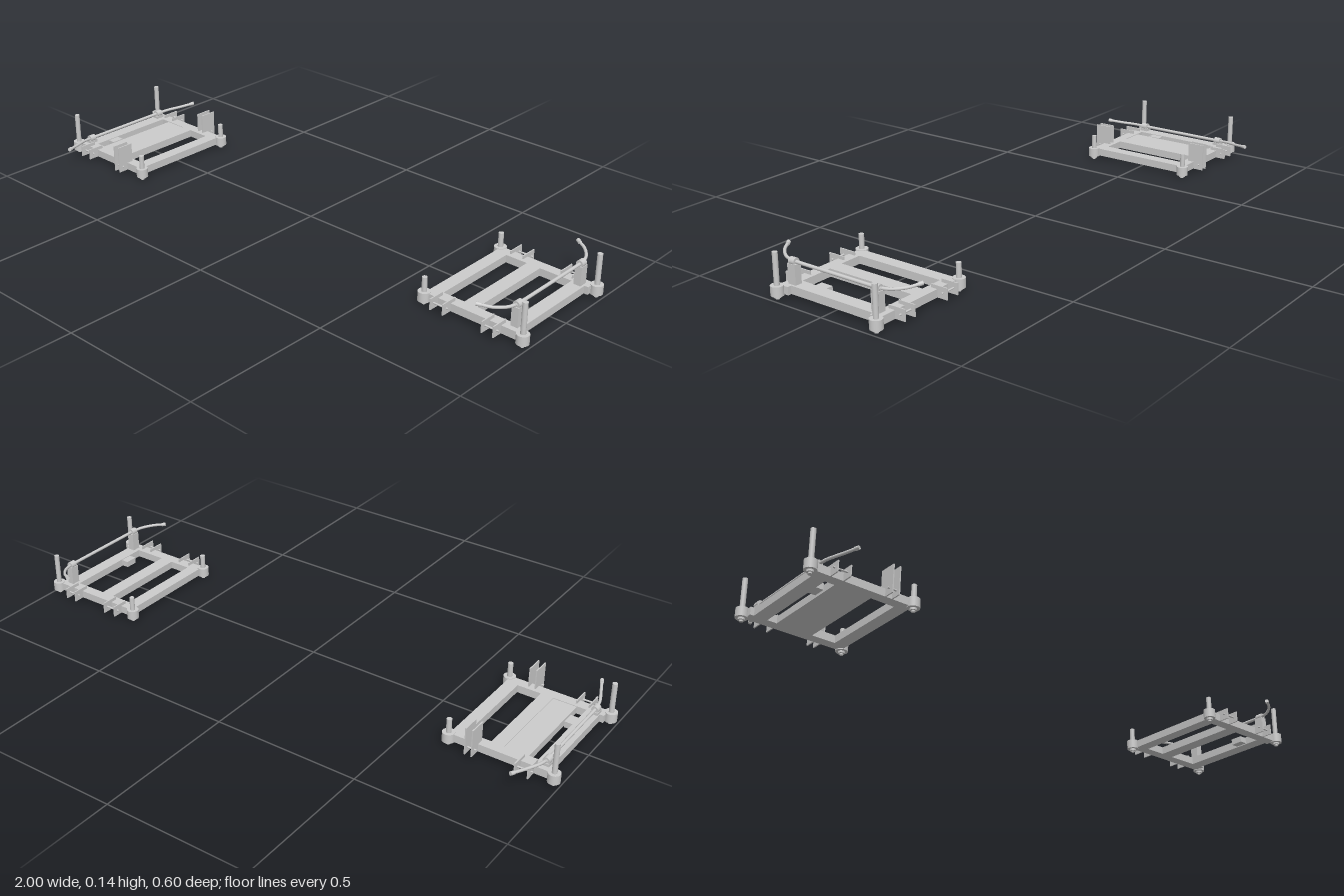
import * as THREE from 'three';

const grey = new THREE.MeshStandardMaterial({ color: 0xcccccc });

function add(parent, name, geometry, x = 0, y = 0, z = 0) {
  const mesh = new THREE.Mesh(geometry, grey);
  mesh.name = name;
  mesh.position.set(x, y, z);
  parent.add(mesh);
  return mesh;
}

// Box given by its lower and upper limits on each axis
function box(parent, name, [x0, x1], [y0, y1], [z0, z1]) {
  return add(parent, name, new THREE.BoxGeometry(x1 - x0, y1 - y0, z1 - z0),
    (x0 + x1) / 2, (y0 + y1) / 2, (z0 + z1) / 2);
}

// Upright cylinder from y0 to y1
function upright(parent, name, r, y0, y1, x, z) {
  return add(parent, name, new THREE.CylinderGeometry(r, r, y1 - y0, 24), x, (y0 + y1) / 2, z);
}

const BEAM = [0.015, 0.041];

// Open frame with four corner sockets; s is the side of the model it lies on
function frame(s, name) {
  const g = new THREE.Group();
  g.name = name;
  const span = (a, b) => (s > 0 ? [a, b] : [-b, -a]);

  box(g, 'innerRail', span(0.634, 0.676), BEAM, [-0.19, 0.19]);
  box(g, 'outerRail', span(0.912, 0.957), BEAM, [-0.19, 0.19]);
  box(g, 'tab', span(0.885, 0.915), [0.018, 0.039], [0.064, 0.107]);
  for (const e of [-1, 1]) {
    box(g, 'endRail', span(0.635, 0.97), BEAM, e > 0 ? [0.157, 0.193] : [-0.193, -0.157]);
    // Corner sockets, feet and posts
    for (const [x, top] of [[0.63, 0.09], [0.98, 0.145]]) {
      upright(g, 'cornerSocket', 0.02, 0.012, 0.043, s * x, e * 0.19);
      upright(g, 'foot', 0.011, 0.005, 0.012, s * x, e * 0.19);
      upright(g, 'footTip', 0.006, 0, 0.006, s * x, e * 0.19);
      upright(g, 'post', 0.0085, 0.043, top, s * x, e * 0.19);
    }
  }
  return g;
}

// Pair of thin bracket plates with a pin through them, at both ends
function brackets(g, xs, top, pinY) {
  for (const e of [-1, 1]) {
    for (const x of xs) {
      box(g, 'bracketPlate', [x - 0.002, x + 0.002], [0.015, top],
        e > 0 ? [0.17, 0.229] : [-0.229, -0.17]);
    }
    const length = Math.abs(xs[1] - xs[0]) + 0.018;
    add(g, 'bracketPin', new THREE.CylinderGeometry(0.003, 0.003, length, 12),
      (xs[0] + xs[1]) / 2, pinY, e * 0.214).rotation.z = Math.PI / 2;
  }
}

// Anti-roll bar with bushings on stands and a bent lever at each end
function rollBar(g, x, y, lever) {
  add(g, 'rollBar', new THREE.CylinderGeometry(0.0055, 0.0055, 0.35, 16), x, y, 0)
    .rotation.x = Math.PI / 2;
  for (const e of [-1, 1]) {
    const z = e * 0.16;
    box(g, 'bushingStand', [x - 0.012, x + 0.012], [0.04, y - 0.006], [z - 0.015, z + 0.015]);
    add(g, 'bushing', new THREE.CylinderGeometry(0.012, 0.012, 0.022, 16), x, y, z)
      .rotation.x = Math.PI / 2;
    const points = [[x, y, 0.165], ...lever].map(p => new THREE.Vector3(p[0], p[1], e * p[2]));
    const curve = new THREE.CatmullRomCurve3(points);
    add(g, 'lever', new THREE.TubeGeometry(curve, 24, 0.005, 10));
    // Swollen tip on the lever
    const end = points[points.length - 1];
    const tip = add(g, 'leverTip', new THREE.CylinderGeometry(0.0065, 0.0065, 0.014, 14),
      end.x, end.y, end.z);
    tip.quaternion.setFromUnitVectors(new THREE.Vector3(0, 1, 0), curve.getTangent(1));
  }
}

export function createModel() {
  const model = new THREE.Group();
  model.name = 'suspensionFrames';

  // Frame on the left, with a narrow cross bar and a raised roll bar
  const left = frame(1, 'leftFrame');
  box(left, 'crossBar', [0.752, 0.8], BEAM, [-0.17, 0.17]);
  brackets(left, [0.682, 0.728], 0.052, 0.034);
  brackets(left, [0.866, 0.906], 0.052, 0.034);
  rollBar(left, 0.938, 0.11, [[0.928, 0.112, 0.2], [0.9, 0.116, 0.235], [0.868, 0.121, 0.254]]);

  // Frame on the right, with a broad panel, tall brackets and a low roll bar
  const right = frame(-1, 'rightFrame');
  box(right, 'panel', [-0.88, -0.8], [0.015, 0.039], [-0.175, 0.175]);
  box(right, 'crossBar', [-0.8, -0.757], BEAM, [-0.17, 0.17]);
  brackets(right, [-0.73, -0.707], 0.108, 0.034);
  brackets(right, [-0.915, -0.872], 0.052, 0.034);
  rollBar(right, -0.942, 0.056, [[-0.935, 0.059, 0.2], [-0.915, 0.063, 0.25], [-0.897, 0.068, 0.293]]);

  model.add(left, right);
  return model;
}
